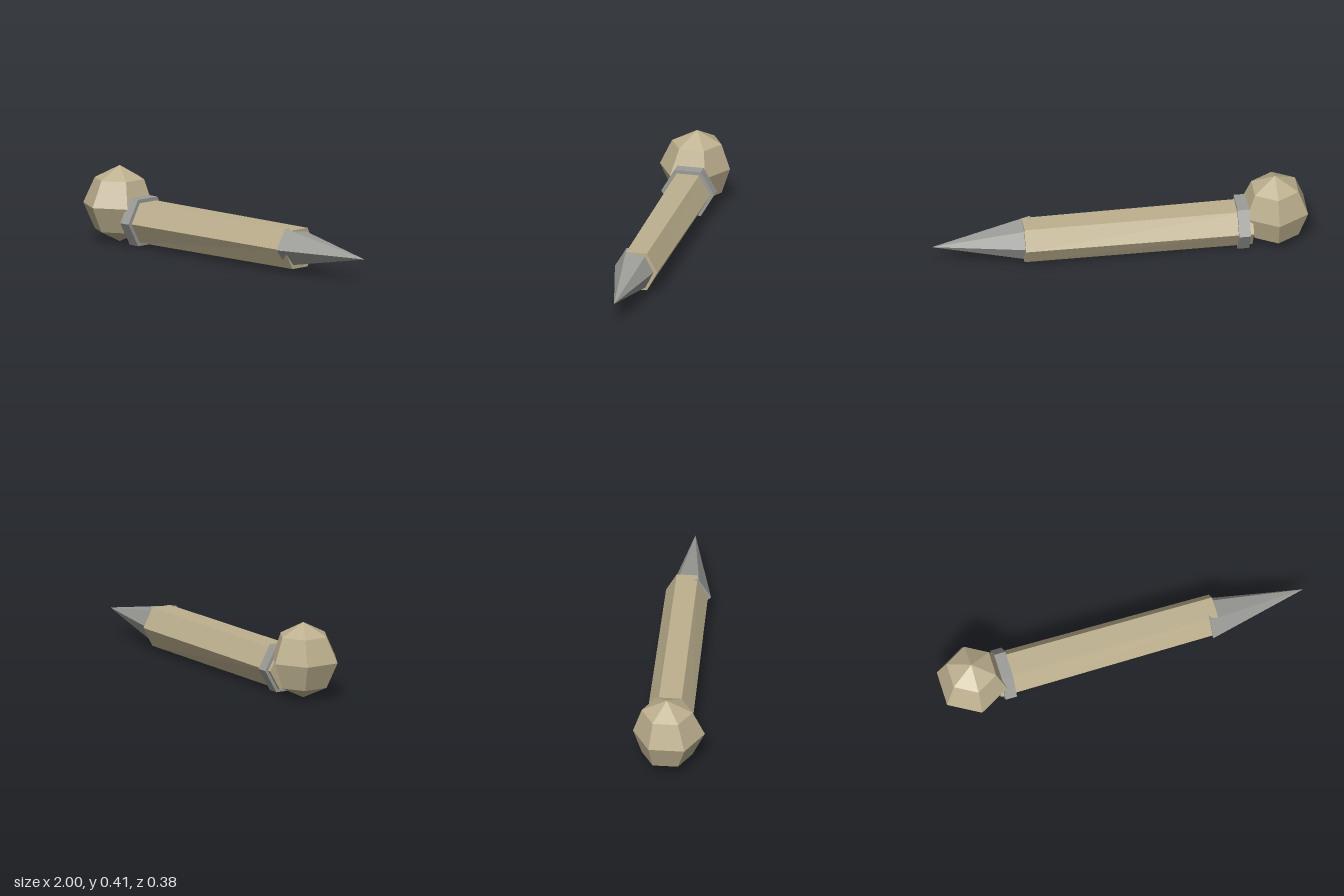
import * as THREE from 'three';

const tan = new THREE.MeshStandardMaterial({ color: 0xbdb08f });
tan.name = 'paleWood';
const grey = new THREE.MeshStandardMaterial({ color: 0x9b9b97 });
grey.name = 'greyMetal';
for (const m of [tan, grey]) m.flatShading = true;

const SIDES = 6;
const range = [...Array(SIDES).keys()];

// Six-sided ring around the x axis
const ringX = (x, y, z, ry, rz = ry) => range.map(i => {
  const a = i * Math.PI / 3;
  return new THREE.Vector3(x, y + ry * Math.sin(a), z + rz * Math.cos(a));
});
// Six-sided ring around the y axis
const ringY = (x, y, z, r) => range.map(i => {
  const a = i * Math.PI / 3;
  return new THREE.Vector3(x - r * Math.sin(a), y, z + r * Math.cos(a));
});

// Faceted skin through a list of rings; each end closes on the ring's centre
function loft(name, rings, material) {
  const centre = ring => {
    const c = new THREE.Vector3();
    ring.forEach(p => c.addScaledVector(p, 1 / SIDES));
    return range.map(() => c);
  };
  const all = [centre(rings[0]), ...rings, centre(rings[rings.length - 1])];
  const points = [];
  const tri = (a, b, c) => {
    const area = b.clone().sub(a).cross(c.clone().sub(a)).length();
    if (area > 1e-7) points.push(a, b, c);
  };
  for (let k = 0; k < all.length - 1; k++) {
    for (const i of range) {
      const j = (i + 1) % SIDES;
      tri(all[k][i], all[k + 1][i], all[k + 1][j]);
      tri(all[k][i], all[k + 1][j], all[k][j]);
    }
  }
  const geometry = new THREE.BufferGeometry().setFromPoints(points);
  geometry.computeVertexNormals();
  const mesh = new THREE.Mesh(geometry, material);
  mesh.name = name;
  return mesh;
}

export function createModel() {
  const group = new THREE.Group();
  group.name = 'spikedRod';

  // Faceted ball at the left end: [height, z centre, radius]
  const ball = [
    [0.003, -0.012, 0], [0.067, -0.01, 0.135], [0.205, 0, 0.191],
    [0.342, -0.01, 0.135], [0.412, -0.012, 0],
  ].map(([y, z, r]) => ringY(-0.834, y, z, r));
  group.add(loft('pommelBall', ball, tan));

  // Hexagonal shaft, tapering slightly toward the tip
  group.add(loft('shaft', [
    ringX(-0.705, 0.134, -0.0135, 0.123),
    ringX(0.513, 0.133, -0.0145, 0.12, 0.113),
  ], tan));

  // Collar between ball and shaft
  group.add(loft('collar', [
    ringX(-0.686, 0.135, -0.012, 0.144),
    ringX(-0.624, 0.135, -0.012, 0.144),
  ], grey));

  // Slightly uneven pointed tip, base given as [z, y]
  const base = [
    [0.115, 0.133], [0.051, 0.241], [-0.065, 0.227],
    [-0.116, 0.133], [-0.068, 0.036], [0.04, 0.042],
  ].map(([z, y]) => new THREE.Vector3(0.466, y, z));
  group.add(loft('spikeTip', [base, ringX(1, 0.135, -0.012, 0)], grey));

  return group;
}
